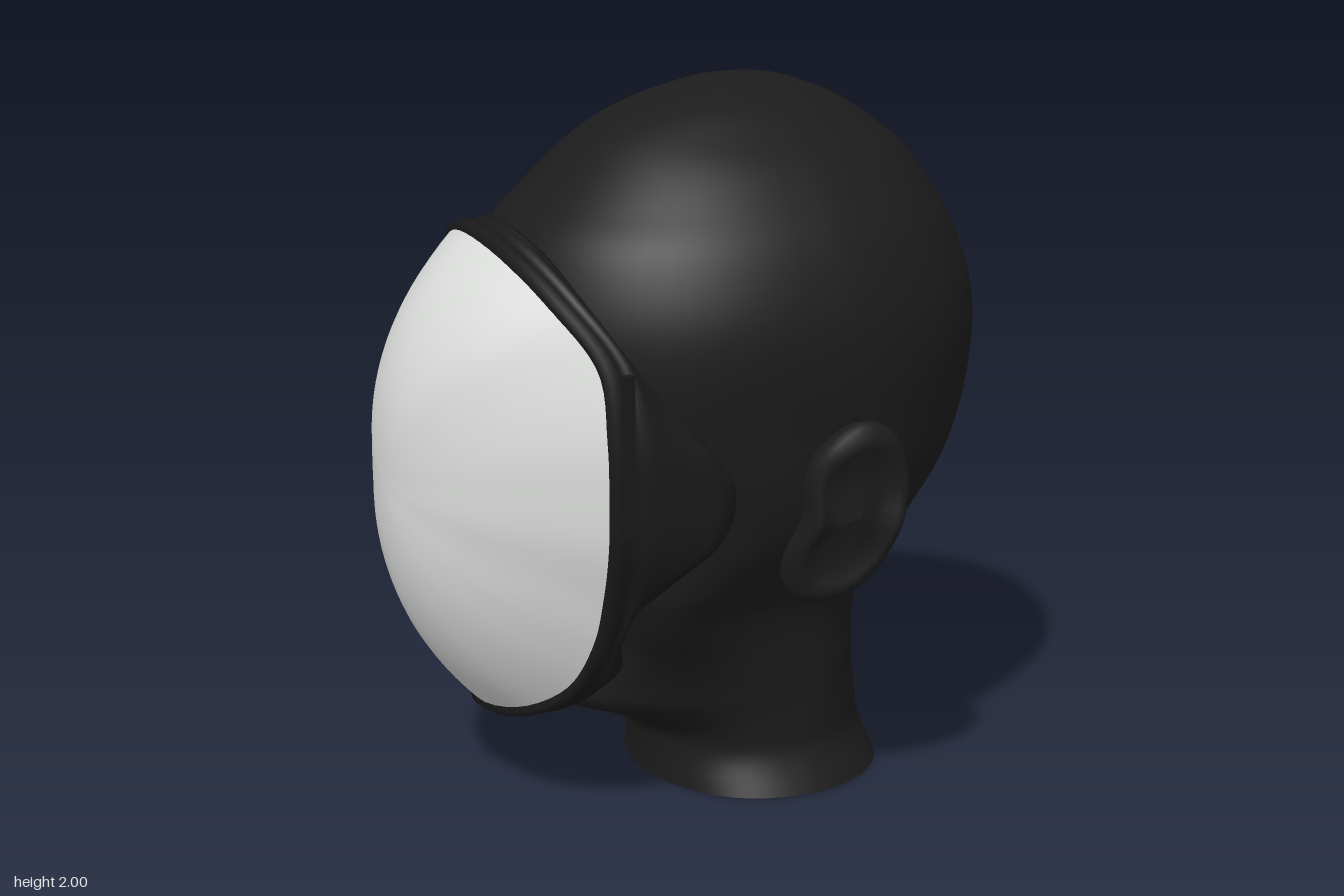
import * as THREE from 'three';

const mat = (name, color, side = THREE.DoubleSide) => {
  const m = new THREE.MeshStandardMaterial({ color, side });
  m.name = name;
  return m;
};

// Skin over rows of closed cross-sections: point(row, column) gives [x, y, z]
function loft(rows, cols, point) {
  const pos = [], index = [];
  for (let i = 0; i < rows; i++) for (let j = 0; j < cols; j++) pos.push(...point(i, j));
  for (let i = 0; i < rows - 1; i++) for (let j = 0; j < cols; j++) {
    const k = (j + 1) % cols, a = i * cols + j, b = i * cols + k, c = a + cols, d = b + cols;
    index.push(a, c, b, b, c, d);
  }
  const g = new THREE.BufferGeometry();
  g.setAttribute('position', new THREE.Float32BufferAttribute(pos, 3));
  g.setIndex(index);
  g.computeVertexNormals();
  return g;
}

// Closed curve from one half outline [z, y, x], mirrored across z = 0
function mirroredLoop(half) {
  const pts = half.map(([z, y, x]) => new THREE.Vector3(x, y, z));
  const other = half.slice(1, -1).reverse().map(([z, y, x]) => new THREE.Vector3(x, y, -z));
  return new THREE.CatmullRomCurve3([...pts, ...other], true, 'catmullrom', 0.5);
}

// Head levels: height, front x, back x, half width, x of the widest point
const LEVELS = [
  [0, -0.11, 0.605, 0.395, 0.25], [0.1, -0.12, 0.565, 0.335, 0.24], [0.17, -0.15, 0.55, 0.33, 0.24],
  [0.23, -0.28, 0.54, 0.33, 0.25], [0.29, -0.43, 0.53, 0.335, 0.25], [0.37, -0.4, 0.527, 0.342, 0.24],
  [0.47, -0.345, 0.53, 0.35, 0.22], [0.58, -0.36, 0.55, 0.38, 0.2], [0.68, -0.42, 0.6, 0.45, 0.2],
  [0.8, -0.47, 0.69, 0.535, 0.2], [0.95, -0.52, 0.79, 0.59, 0.2], [1.12, -0.56, 0.85, 0.612, 0.2],
  [1.3, -0.57, 0.868, 0.63, 0.2], [1.45, -0.56, 0.85, 0.615, 0.2], [1.6, -0.51, 0.795, 0.56, 0.2],
  [1.7, -0.42, 0.735, 0.492, 0.2], [1.8, -0.32, 0.66, 0.403, 0.2], [1.87, -0.235, 0.57, 0.315, 0.2],
  [1.93, -0.115, 0.475, 0.23, 0.2], [1.98, 0.04, 0.345, 0.12, 0.2], [1.995, 0.12, 0.27, 0.055, 0.2],
  [2, 0.2, 0.2, 0, 0.2],
];

// Edge of the visor and rear edge of the mask skirt, as [z, y, x]
const VISOR_EDGE = [
  [0, 1.62, -0.61], [0.2, 1.58, -0.582], [0.37, 1.48, -0.52], [0.49, 1.33, -0.435],
  [0.54, 1.15, -0.43], [0.55, 1, -0.43], [0.545, 0.86, -0.43], [0.51, 0.72, -0.43],
  [0.46, 0.57, -0.44], [0.36, 0.42, -0.475], [0.2, 0.32, -0.55], [0, 0.285, -0.6],
];
const SKIRT_EDGE = [
  [0, 1.65, -0.52], [0.2, 1.6, -0.48], [0.38, 1.46, -0.4], [0.5, 1.27, -0.28],
  [0.57, 1.08, -0.13], [0.575, 0.97, -0.08], [0.565, 0.84, -0.12], [0.525, 0.74, -0.23],
  [0.44, 0.6, -0.35], [0.35, 0.44, -0.32], [0.2, 0.31, -0.41], [0, 0.28, -0.45],
];
const MID_Y = 0.97;

function headGeometry() {
  const curve = (a, b) => new THREE.CatmullRomCurve3(LEVELS.map(l => new THREE.Vector3(l[a], l[0], l[b])), false, 'catmullrom', 0.5);
  const ends = curve(1, 2), widths = curve(3, 4), rows = 85, cols = 64;
  return loft(rows, cols, (i, j) => {
    const e = ends.getPoint(i / (rows - 1)), w = widths.getPoint(i / (rows - 1));
    const a = (j / cols) * Math.PI * 2, c = Math.cos(a);
    // fuller face, squarer and wider at the jaw around y = 0.56
    const jaw = Math.exp(-(((e.y - 0.56) / 0.18) ** 2));
    const front = -(Math.max(0, -c) ** (0.85 - 0.35 * jaw));
    const x = w.z + (c > 0 ? c * (e.z - w.z) : front * (w.z - e.x));
    const wide = 1 + 0.5 * jaw * Math.min(1, Math.max(0, -c * 1.3));
    return [x, e.y, w.x * Math.sin(a) * wide];
  });
}

function visorGeometry(edge) {
  const rows = 20, cols = 96;
  return loft(rows, cols, (i, j) => {
    const s = i / (rows - 1), p = edge.getPoint(1 - j / cols);
    // blunter from top to bottom than from side to side
    const power = 2 + 0.5 * ((p.y - MID_Y) / 0.65) ** 2;
    return [-0.872 + (p.x + 0.872) * s ** power, MID_Y + (p.y - MID_Y) * s, p.z * s];
  });
}

function skirtGeometry(edge, back) {
  // blend towards the rear edge, outward scale, shift in x
  const profile = [
    [0, 0.97, 0], [0, 1.02, -0.006], [0, 1.037, 0.012], [0, 1.035, 0.04], [0.06, 1.01, 0.045],
    [0.12, 1.025, 0.05], [0.2, 1.032, 0.055], [0.35, 1.022, 0.045], [0.6, 1.015, 0.02],
    [0.85, 1.01, 0.005], [1, 1, 0], [1, 0.93, 0], [1, 0.82, 0.02],
  ];
  const cols = 120;
  return loft(profile.length, cols, (i, j) => {
    const [t, s, dx] = profile[i];
    const p = edge.getPoint(j / cols).lerp(back.getPoint(j / cols), t);
    return [p.x + dx, MID_Y + (p.y - MID_Y) * s, p.z * s];
  });
}

function earGeometry(side) {
  const outline = new THREE.CatmullRomCurve3([
    [0.11, 1.03], [0.16, 1.11], [0.25, 1.16], [0.33, 1.13], [0.375, 1.02], [0.36, 0.87],
    [0.31, 0.74], [0.2, 0.65], [0.11, 0.65], [0.08, 0.76], [0.11, 0.89],
  ].map(([x, y]) => new THREE.Vector3(x, y, 0)), true);
  // outline scale and depth below the outer face
  const rings = [[0.85, 0.2], [0.93, 0.1], [1, 0.035], [0.97, 0.008], [0.88, 0], [0.76, 0.01], [0.6, 0.035], [0.35, 0.042], [0, 0.035]];
  return loft(rings.length, 40, (i, j) => {
    const [s, depth] = rings[i], p = outline.getPoint(j / 40);
    const x = 0.24 + (p.x - 0.24) * s, y = 0.9 + (p.y - 0.9) * s;
    const face = 0.717 - 2.6 * Math.min(0, x - 0.27) ** 2 - 0.15 * Math.max(0, x - 0.27)
      - 0.42 * Math.max(0, 0.87 - y) - 0.4 * Math.max(0, y - 1.1);
    return [x, y, side * (face - depth)];
  });
}

export function createModel() {
  const group = new THREE.Group();
  group.name = 'maskedHead';
  const hood = mat('matte black', 0x1c1c1c);
  const rubber = mat('rubber black', 0x191919);
  const glass = mat('pale grey', 0xd8dad8, THREE.FrontSide);
  const add = (name, geometry, material) => {
    const m = new THREE.Mesh(geometry, material);
    m.name = name;
    group.add(m);
    return m;
  };

  const edge = mirroredLoop(VISOR_EDGE), back = mirroredLoop(SKIRT_EDGE);
  add('head', headGeometry(), hood);
  add('visor', visorGeometry(edge), glass);
  add('maskSkirt', skirtGeometry(edge, back), rubber);

  for (const side of [1, -1]) {
    const label = side > 0 ? 'Front' : 'Rear';
    add('ear' + label, earGeometry(side), hood);
    // ribbed clip on the side of the mask
    const clip = add('sideClip' + label, new THREE.BoxGeometry(0.03, 0.44, 0.02), rubber);
    clip.position.set(-0.385, 1.11, side * 0.563);
  }
  return group;
}
